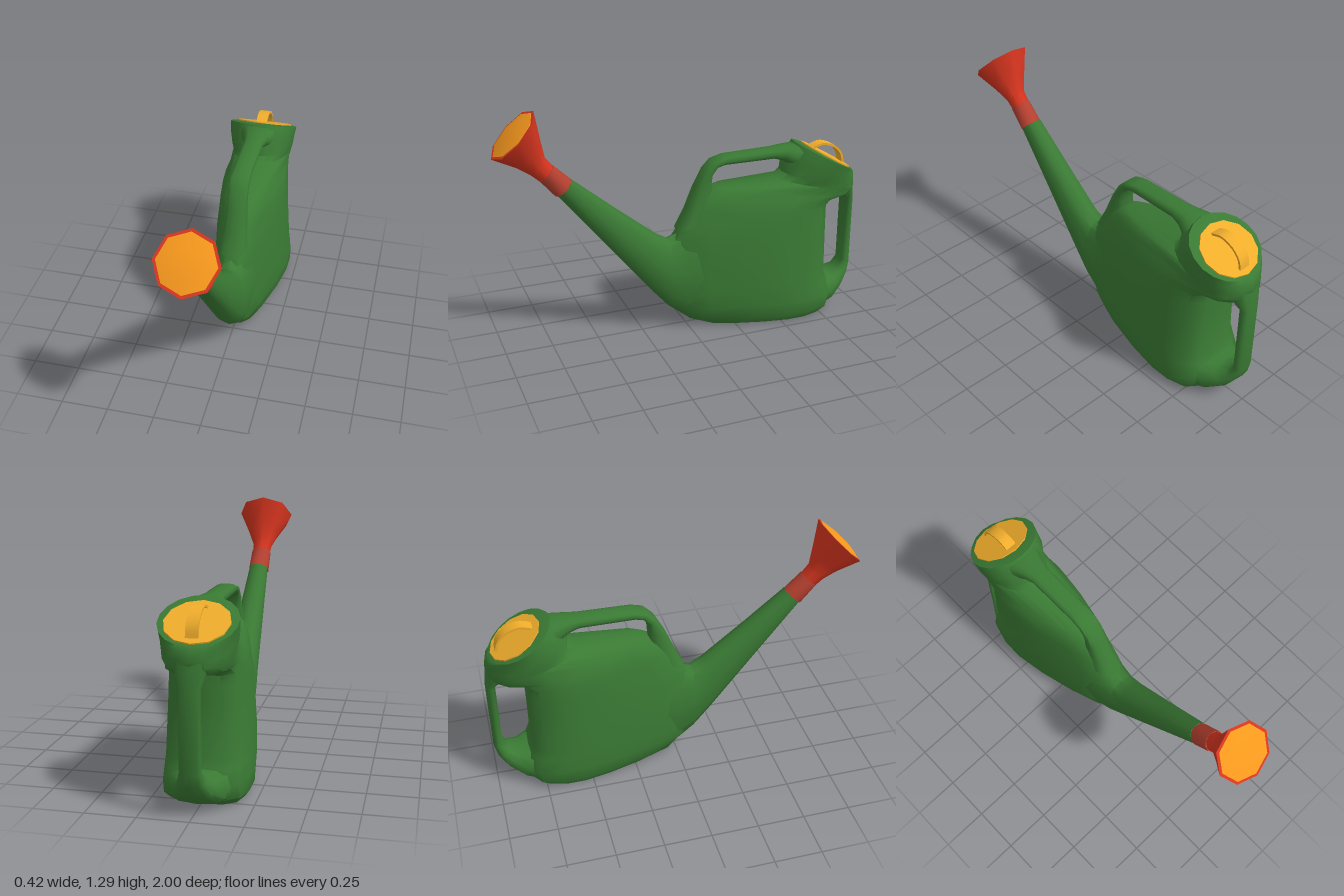
import * as THREE from 'three';
import { toCreasedNormals } from 'three/addons/utils/BufferGeometryUtils.js';

const GREEN = 0x3a7a34, RED = 0xd8351f, COLLAR = 0xb54030, ORANGE = 0xf7981d, YELLOW = 0xf0ad2c;

// Half outlines as [position from start (0) to end (1), half width]
const teardrop = [[0, 0], [0, 0.2], [0.06, 0.42], [0.2, 0.62], [0.45, 0.87],
  [0.65, 1], [0.8, 1], [0.93, 0.87], [0.99, 0.55], [1, 0]];
const oval = (steps, e = 2) => Array.from({ length: steps + 1 }, (_, i) => {
  const a = (i / steps) * Math.PI, c = Math.cos(a), s = Math.abs(Math.sin(a));
  return [0.5 - 0.5 * Math.sign(c) * Math.abs(c) ** (2 / e), i % steps ? s ** (2 / e) : 0];
});

// Skins closed rings; each ring is [z, y, z, y, halfWidth, blend] across its start and end points
function loft(name, color, rings, from, to = from, crease = 0.85) {
  const half = from.length - 1, n = half * 2, pos = [], index = [];
  for (const [z0, y0, z1, y1, w, k = 0] of rings) {
    for (let i = 0; i < n; i++) {
      const j = i <= half ? i : n - i;
      const t = THREE.MathUtils.lerp(from[j][0], to[j][0], k);
      const x = THREE.MathUtils.lerp(from[j][1], to[j][1], k) * w;
      pos.push(i <= half ? x : -x, y0 + (y1 - y0) * t, z0 + (z1 - z0) * t);
    }
  }
  for (let r = 0; r < rings.length - 1; r++) {
    for (let i = 0; i < n; i++) {
      const a = r * n + i, b = r * n + (i + 1) % n;
      index.push(a, b, b + n, a, b + n, a + n);
    }
  }
  // End caps
  [0, rings.length - 1].forEach((r, end) => {
    const [z0, y0, z1, y1] = rings[r], c = pos.length / 3;
    pos.push(0, (y0 + y1) / 2, (z0 + z1) / 2);
    for (let i = 0; i < n; i++) {
      const a = r * n + i, b = r * n + (i + 1) % n;
      if (end) index.push(c, a, b); else index.push(c, b, a);
    }
  });
  const geo = new THREE.BufferGeometry();
  geo.setAttribute('position', new THREE.Float32BufferAttribute(pos, 3));
  geo.setIndex(index);
  const mesh = new THREE.Mesh(toCreasedNormals(geo, crease), new THREE.MeshStandardMaterial({ color }));
  mesh.name = name;
  return mesh;
}

// Thin strip bent along an arch over the lid
function createGrip() {
  const arch = new THREE.CatmullRomCurve3([[-0.73, 0.93], [-0.76, 0.942], [-0.8, 0.95], [-0.87, 0.925],
    [-0.91, 0.88], [-0.922, 0.83]].map(([z, y]) => new THREE.Vector3(0, y, z)));
  const geo = new THREE.BoxGeometry(0.06, 1, 0.012, 1, 12, 1);
  const p = geo.attributes.position, side = new THREE.Vector3(1, 0, 0);
  for (let i = 0; i < p.count; i++) {
    const u = 0.5 - p.getY(i), q = arch.getPoint(u);
    const normal = arch.getTangent(u).cross(side);
    q.addScaledVector(normal, p.getZ(i));
    p.setXYZ(i, p.getX(i), q.y, q.z);
  }
  geo.computeVertexNormals();
  const grip = new THREE.Mesh(geo, new THREE.MeshStandardMaterial({ color: YELLOW }));
  grip.name = 'lidGrip';
  return grip;
}

export function createModel() {
  const group = new THREE.Group();
  group.name = 'wateringCan';

  // Tank, from the recessed base up to the slanted filler rim
  group.add(loft('tank', GREEN, [
    [-0.24, 0.03, -0.7, 0.03, 0.115],
    [-0.22, 0, -0.72, 0, 0.13],
    [-0.1, 0, -0.78, 0, 0.185],
    [-0.01, 0.04, -0.83, 0.04, 0.21],
    [0.07, 0.12, -0.85, 0.11, 0.21],
    [0.08, 0.2, -0.82, 0.18, 0.207],
    [0.08, 0.25, -0.8, 0.23, 0.205],
    [0.08, 0.5, -0.8, 0.5, 0.188],
    [0.03, 0.57, -0.8, 0.58, 0.183],
    [-0.02, 0.67, -0.8, 0.63, 0.179],
    [-0.08, 0.74, -0.85, 0.66, 0.172, 0.1],
    [-0.17, 0.785, -0.95, 0.67, 0.162, 0.2],
    [-0.52, 0.79, -0.985, 0.7, 0.168, 0.7],
    [-0.56, 0.815, -0.99, 0.74, 0.176, 1],
    [-0.57, 0.89, -0.983, 0.78, 0.183, 1],
    [-0.64, 0.97, -0.965, 0.8, 0.19, 1],
    [-0.685, 0.955, -0.945, 0.81, 0.155, 1],
  ], teardrop, oval(9)));

  // Spout
  group.add(loft('spout', GREEN, [
    [-0.1, 0, -0.1, 0.6, 0.12],
    [0, 0.04, 0, 0.56, 0.106],
    [0.1, 0.12, 0.1, 0.52, 0.094],
    [0.2, 0.235, 0.17, 0.56, 0.085],
    [0.45, 0.55, 0.4, 0.745, 0.068],
    [0.69, 0.85, 0.61, 0.92, 0.053],
  ], oval(6, 2.4)));

  // Carrying handle over the tank
  group.add(loft('topHandle', GREEN, [
    [0.055, 0.56, -0.12, 0.62, 0.075],
    [0, 0.67, -0.14, 0.72, 0.062],
    [-0.05, 0.79, -0.14, 0.8, 0.056],
    [-0.1, 0.88, -0.145, 0.855, 0.055],
    [-0.15, 0.93, -0.17, 0.89, 0.055],
    [-0.22, 0.95, -0.21, 0.9, 0.054],
    [-0.5, 0.957, -0.5, 0.9, 0.055],
    [-0.57, 0.962, -0.55, 0.885, 0.068],
    [-0.65, 0.96, -0.62, 0.84, 0.1],
  ], oval(6, 2.8)));

  // Pouring handle at the back, spreading into the heel of the tank
  group.add(loft('rearHandle', GREEN, [
    [-0.98, 0.76, -0.84, 0.72, 0.1],
    [-0.99, 0.7, -0.9, 0.665, 0.075],
    [-1, 0.62, -0.95, 0.62, 0.053],
    [-1, 0.22, -0.95, 0.235, 0.053],
    [-0.985, 0.16, -0.92, 0.19, 0.066],
    [-0.935, 0.085, -0.86, 0.175, 0.1],
    [-0.86, 0.03, -0.8, 0.19, 0.145],
    [-0.77, 0.002, -0.73, 0.19, 0.17],
  ], oval(6, 2.8)));

  // Lid and its arched grip
  group.add(loft('lid', YELLOW, [
    [-0.69, 0.945, -0.95, 0.8, 0.157],
    [-0.695, 0.957, -0.953, 0.813, 0.157],
  ], oval(6)));
  group.add(createGrip());

  // Collar joining spout and sprinkler head
  group.add(loft('collar', COLLAR, [
    [0.695, 0.84, 0.61, 0.92, 0.057],
    [0.775, 0.935, 0.7, 1.005, 0.055],
  ], oval(5)));

  // Sprinkler head with a thin lip
  group.add(loft('sprinklerHead', RED, [
    [0.755, 0.915, 0.685, 0.985, 0.048],
    [0.815, 0.968, 0.737, 1.048, 0.055],
    [0.88, 1.012, 0.755, 1.14, 0.09],
    [1, 1.07, 0.78, 1.29, 0.155],
    [0.989, 1.081, 0.791, 1.279, 0.14],
  ], oval(4)));

  // Slightly domed sprinkler face
  group.add(loft('sprinklerFace', ORANGE, [
    [0.988, 1.08, 0.79, 1.278, 0.14],
    [0.991, 1.083, 0.793, 1.281, 0.14],
    [0.952, 1.138, 0.848, 1.242, 0.073],
  ], oval(4)));

  return group;
}
